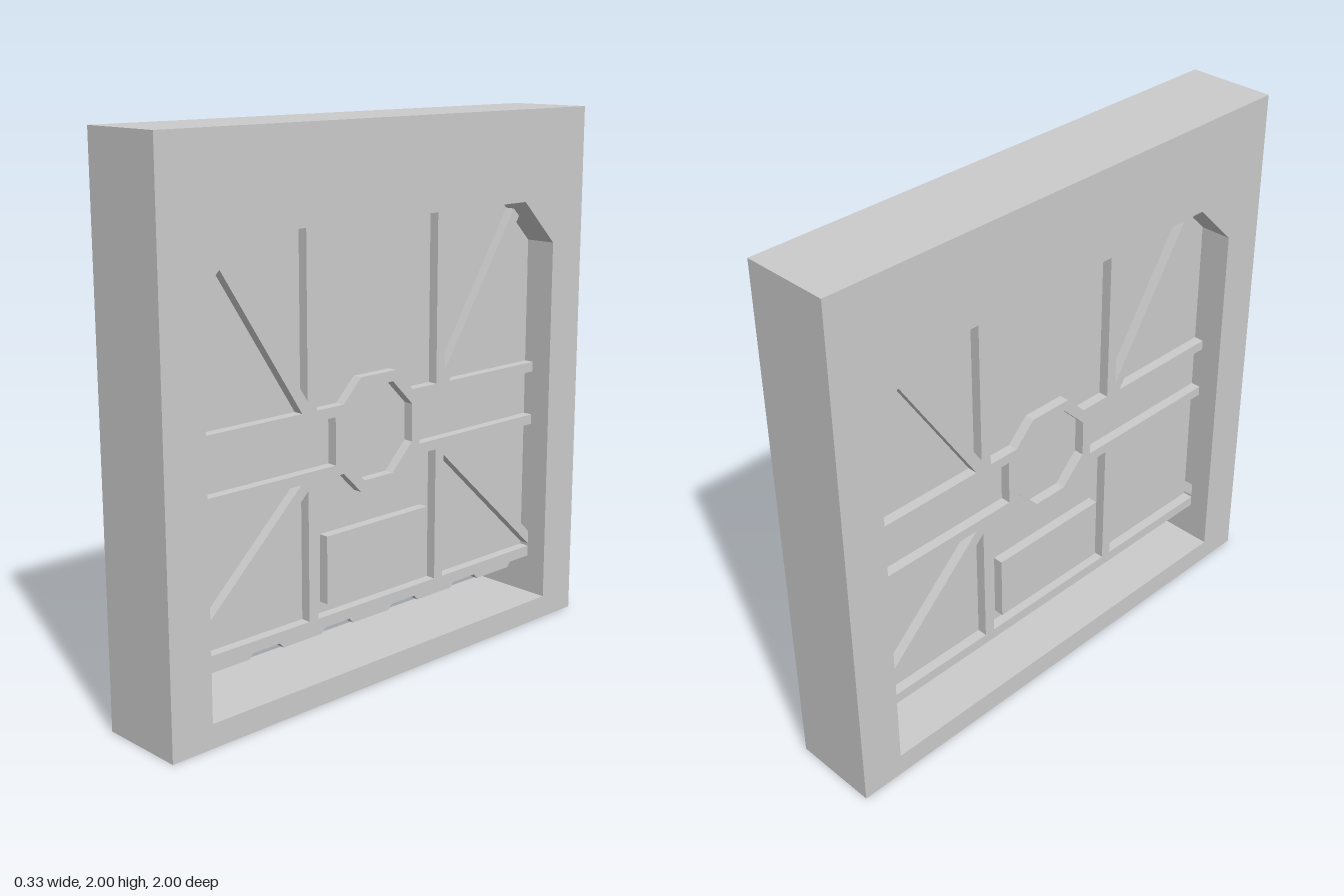
import * as THREE from 'three';

const FRAME = 0.167, RIB = 0.083, PANEL = 0.045; // half thicknesses
const material = new THREE.MeshStandardMaterial({ color: 0xcccccc, flatShading: true });

const mirror = (pts) => pts.map(([u, y]) => [-u, y]);
const toVectors = (pts) => pts.map(([u, y]) => new THREE.Vector2(u, y));
const rect = (u0, y0, u1, y1) => [[u0, y0], [u1, y0], [u1, y1], [u0, y1]];

// Octagon with flat half widths r and half edge lengths e
function octagon(r, e, cy) {
  return [[r, -e], [r, e], [e, r], [-e, r], [-r, e], [-r, -e], [-e, -r], [e, -r]]
    .map(([u, y]) => [u, y + cy]);
}

// Outline in the width/height plane, extruded evenly through the thickness
function slab(name, outline, half, hole) {
  const shape = new THREE.Shape(toVectors(outline));
  if (hole) shape.holes.push(new THREE.Path(toVectors(hole)));
  const geometry = new THREE.ExtrudeGeometry(shape, { depth: half * 2, bevelEnabled: false });
  geometry.translate(0, 0, -half);
  geometry.rotateY(Math.PI / 2);
  const mesh = new THREE.Mesh(geometry, material);
  mesh.name = name;
  return mesh;
}

export function createModel() {
  const model = new THREE.Group();
  model.name = 'gateway';

  // Surrounding frame with a chamfered opening
  const opening = (bottom) => [
    [-0.835, bottom], [0.835, bottom], [0.835, 1.5], [0.67, 1.665], [-0.67, 1.665], [-0.835, 1.5],
  ];
  model.add(slab('frame', rect(-1, 0, 1, 2), FRAME, opening(0.087)));

  const door = new THREE.Group();
  door.name = 'door';
  model.add(door);

  // Door sheet and bottom rail
  door.add(slab('doorPanel', opening(0.24), PANEL));
  door.add(slab('bottomRail', rect(-0.835, 0.237, 0.835, 0.278), RIB));

  // Teeth along the lower edge
  for (let i = -2; i <= 2; i++) {
    const c = i / 3;
    door.add(slab('tooth', [[c - 0.09, 0.197], [c + 0.09, 0.197], [c + 0.128, 0.24], [c - 0.128, 0.24]], PANEL));
  }

  // Central octagonal ring and the raised plaque under it
  const cy = 0.904;
  door.add(slab('hubRing', octagon(0.207, 0.086, cy), RIB, octagon(0.168, 0.07, cy)));
  door.add(slab('plaque', rect(-0.25, 0.32, 0.25, 0.57), RIB));

  // Ribs on one half, repeated on the other
  const ribs = {
    upperCrossbar: [[0.207, 0.99], [0.835, 0.99], [0.835, 1.028], [0.169, 1.028]],
    lowerCrossbar: [[0.169, 0.78], [0.835, 0.78], [0.835, 0.818], [0.207, 0.818]],
    upperPost: rect(0.293, 1.028, 0.335, 1.665),
    lowerPost: rect(0.293, 0.278, 0.335, 0.78),
    upperBrace: [[0.335, 1.028], [0.36, 1.028], [0.733, 1.602], [0.703, 1.632], [0.335, 1.066]],
    lowerBrace: [[0.335, 0.78], [0.335, 0.752], [0.835, 0.288], [0.835, 0.34], [0.367, 0.78]],
  };
  for (const [name, outline] of Object.entries(ribs)) {
    door.add(slab(name, outline, RIB), slab(name, mirror(outline), RIB));
  }
  return model;
}
